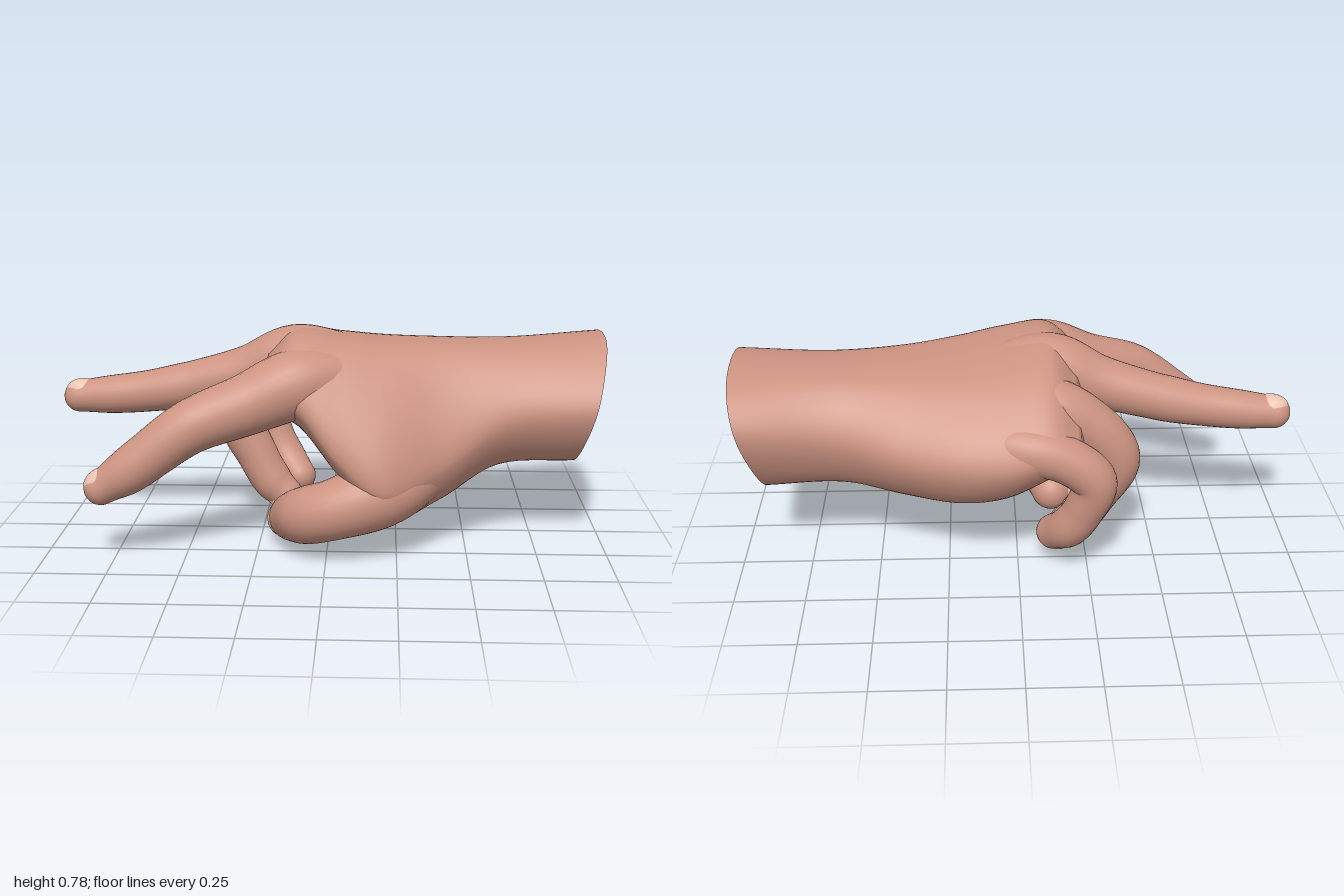
import * as THREE from 'three';

const V = (x, y, z) => new THREE.Vector3(x, y, z);
const skinMat = new THREE.MeshStandardMaterial({ color: 0xcd9482 });
const nailMat = new THREE.MeshStandardMaterial({ color: 0xeec4b3 });

// Skin a list of equally long closed rings with quads
function skin(rings) {
  const n = rings[0].length, pos = [], idx = [];
  rings.forEach((ring) => ring.forEach((p) => pos.push(p.x, p.y, p.z)));
  for (let i = 0; i < rings.length - 1; i++) {
    for (let j = 0; j < n; j++) {
      const k = (j + 1) % n;
      const a = i * n + j, b = i * n + k, c = b + n, d = a + n;
      idx.push(a, b, c, a, c, d);
    }
  }
  const g = new THREE.BufferGeometry();
  g.setAttribute('position', new THREE.Float32BufferAttribute(pos, 3));
  g.setIndex(idx);
  g.computeVertexNormals();
  return g;
}

const collapsed = (ring, shift = V(0, 0, 0)) => {
  const c = ring.reduce((s, p) => s.add(p), V(0, 0, 0)).divideScalar(ring.length).add(shift);
  return ring.map(() => c.clone());
};

// Tapered, round-ended limb through points [x, y, z, radius]
function limb(points, sides = 28, steps = 56) {
  const path = new THREE.CatmullRomCurve3(points.map((p) => V(p[0], p[1], p[2])));
  const radius = new THREE.SplineCurve(points.map((p, i) => new THREE.Vector2(i, p[3])));
  const rings = [];
  let N = V(0, 1, 0);
  const addRing = (c, T, r) => {
    N = N.clone().addScaledVector(T, -T.dot(N)).normalize();
    const B = T.clone().cross(N);
    rings.push(Array.from({ length: sides }, (_, j) => {
      const a = (j / sides) * Math.PI * 2;
      return c.clone().addScaledVector(N, r * Math.cos(a)).addScaledVector(B, r * Math.sin(a));
    }));
  };
  const dome = (u, s, k) => {
    const c = path.getPoint(u), T = path.getTangent(u), r = radius.getPoint(u).y;
    const a = (k / 8) * Math.PI / 2;
    addRing(c.addScaledVector(T, s * r * Math.sin(a)), T, r * Math.cos(a));
  };
  for (let k = 8; k > 0; k--) dome(0, -1, k);
  for (let i = 0; i <= steps; i++) {
    const u = i / steps;
    addRing(path.getPoint(u), path.getTangent(u), radius.getPoint(u).y);
  }
  for (let k = 1; k <= 8; k++) dome(1, 1, k);
  return skin(rings);
}

// Nail: flattened ellipsoid just breaking the surface of the fingertip
function nail(points, facing) {
  const [a, b] = points.slice(-2);
  const r = b[3];
  const d = V(b[0] - a[0], b[1] - a[1], b[2] - a[2]).normalize();
  const n = V(...facing).addScaledVector(d, -d.dot(V(...facing))).normalize();
  const mesh = new THREE.Mesh(new THREE.SphereGeometry(1, 24, 16), nailMat);
  mesh.quaternion.setFromRotationMatrix(new THREE.Matrix4().makeBasis(d, n, d.clone().cross(n)));
  mesh.scale.set(r * 1.05, r * 0.69, r * 0.84);
  mesh.position.set(b[0], b[1], b[2]).addScaledVector(n, r * 0.42).addScaledVector(d, -0.2 * r);
  return mesh;
}

// Cross-sections from wrist to knuckles: x, tilt, then [z, y] around the hand
// (back: thumb side to little-finger side, then palm and thumb side)
const sections = [
  { x: 0.945, tilt: 0.24, ring: [[0.1, 0.7], [-0.05, 0.745], [-0.285, 0.703], [-0.375, 0.58], [-0.25, 0.327], [-0.08, 0.285], [0.12, 0.325], [0.23, 0.52]] },
  { x: 0.64, tilt: 0.1, ring: [[0.11, 0.68], [-0.04, 0.72], [-0.22, 0.69], [-0.325, 0.53], [-0.24, 0.33], [-0.08, 0.295], [0.12, 0.3], [0.23, 0.48]] },
  { x: 0.4, tilt: 0, ring: [[0.13, 0.69], [-0.04, 0.725], [-0.24, 0.68], [-0.39, 0.48], [-0.28, 0.295], [-0.06, 0.285], [0.19, 0.182], [0.31, 0.335]] },
  { x: 0.2, tilt: 0, ring: [[0.18, 0.705], [-0.02, 0.735], [-0.26, 0.68], [-0.44, 0.47], [-0.33, 0.285], [-0.07, 0.33], [0.28, 0.125], [0.425, 0.28]] },
  { x: 0.04, tilt: 0, ring: [[0.22, 0.724], [0, 0.755], [-0.27, 0.685], [-0.452, 0.47], [-0.34, 0.31], [-0.07, 0.38], [0.25, 0.295], [0.395, 0.385]] },
  { x: -0.12, tilt: 0, ring: [[0.245, 0.73], [0, 0.772], [-0.25, 0.695], [-0.435, 0.5], [-0.33, 0.385], [-0.07, 0.45], [0.18, 0.46], [0.335, 0.56]] },
  { x: -0.215, tilt: 0, ring: [[0.24, 0.66], [0, 0.69], [-0.23, 0.61], [-0.4, 0.47], [-0.31, 0.42], [-0.07, 0.49], [0.18, 0.48], [0.325, 0.55]] },
];

function palm(steps = 48, sides = 64) {
  const rails = sections[0].ring.map((_, k) => new THREE.CatmullRomCurve3(
    sections.map(({ x, tilt, ring }) => V(x + (ring[k][1] - 0.52) * tilt, ring[k][1], ring[k][0]))));
  const rings = [];
  for (let i = 0; i <= steps; i++) {
    const loop = new THREE.CatmullRomCurve3(rails.map((c) => c.getPoint(i / steps)), true);
    rings.push(Array.from({ length: sides }, (_, j) => loop.getPoint(j / sides)));
  }
  // doubled first ring keeps the cut at the wrist sharp
  const cut = rings[0].map((p) => p.clone());
  return skin([collapsed(cut), cut, ...rings, collapsed(rings[steps], V(-0.05, 0, 0))]);
}

// Digits start inside the hand so that their roots show as tendons and knuckles
const digits = {
  indexFinger: {
    facing: [-0.6, 0.8, 0],
    points: [[0.3, 0.63, 0.08, 0.05], [0.08, 0.635, 0.17, 0.08], [-0.1, 0.617, 0.225, 0.122], [-0.28, 0.55, 0.275, 0.108],
      [-0.45, 0.495, 0.337, 0.096], [-0.52, 0.455, 0.353, 0.091], [-0.6, 0.396, 0.365, 0.086], [-0.69, 0.33, 0.373, 0.08],
      [-0.78, 0.273, 0.376, 0.06]],
  },
  middleFinger: {
    facing: [0, 1, 0],
    points: [[0.3, 0.66, -0.03, 0.05], [0.08, 0.668, -0.01, 0.078], [-0.12, 0.668, 0, 0.114], [-0.3, 0.603, -0.017, 0.096],
      [-0.48, 0.556, -0.035, 0.086], [-0.56, 0.538, -0.04, 0.084], [-0.68, 0.517, -0.048, 0.077], [-0.82, 0.501, -0.057, 0.071],
      [-0.94, 0.492, -0.064, 0.06]],
  },
  ringFinger: {
    facing: [-0.8, -0.6, 0],
    points: [[0.2, 0.6, -0.14, 0.05], [-0.08, 0.605, -0.2, 0.103], [-0.24, 0.535, -0.21, 0.095], [-0.35, 0.39, -0.203, 0.09],
      [-0.285, 0.23, -0.183, 0.079], [-0.225, 0.13, -0.17, 0.076], [-0.175, 0.085, -0.157, 0.063]],
  },
  littleFinger: {
    facing: [-0.7, -0.7, -0.2],
    points: [[0.2, 0.5, -0.3, 0.06], [-0.01, 0.51, -0.35, 0.09], [-0.16, 0.475, -0.37, 0.083], [-0.26, 0.39, -0.372, 0.08],
      [-0.23, 0.27, -0.356, 0.073], [-0.18, 0.18, -0.327, 0.073], [-0.13, 0.125, -0.27, 0.064]],
  },
  thumb: {
    facing: [-1, 0, 0.3],
    points: [[0.4, 0.33, 0.13, 0.11], [0.2, 0.245, 0.29, 0.125], [0.03, 0.19, 0.333, 0.108], [-0.06, 0.158, 0.3, 0.104],
      [-0.105, 0.125, 0.22, 0.096], [-0.128, 0.1, 0.16, 0.088], [-0.142, 0.078, 0.11, 0.077]],
  },
};

export function createModel() {
  const hand = new THREE.Group();
  hand.name = 'hand';
  const body = new THREE.Mesh(palm(), skinMat);
  body.name = 'palmAndWrist';
  hand.add(body);
  for (const [name, { points, facing }] of Object.entries(digits)) {
    const digit = new THREE.Group();
    digit.name = name;
    const flesh = new THREE.Mesh(limb(points), skinMat);
    flesh.name = name + 'Flesh';
    const tip = nail(points, facing);
    tip.name = name + 'Nail';
    digit.add(flesh, tip);
    hand.add(digit);
  }
  return hand;
}
